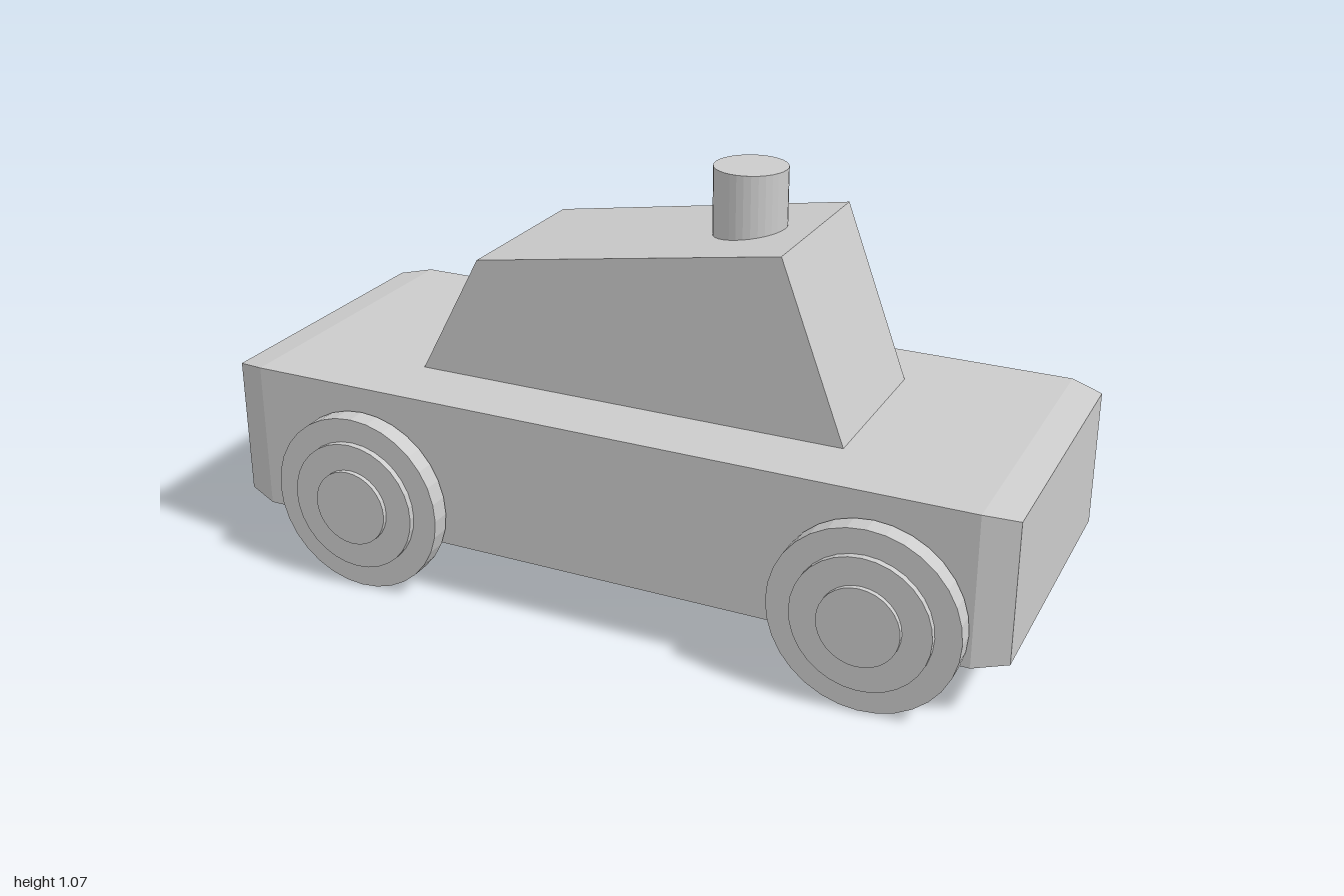
import * as THREE from 'three';

const flat = new THREE.MeshStandardMaterial({ color: 0xcccccc, flatShading: true });

function part(name, geometry, x, y, z) {
  const mesh = new THREE.Mesh(geometry, flat);
  mesh.name = name;
  mesh.position.set(x, y, z);
  return mesh;
}

// Long box whose two ends taper slightly in height and width
function bodyGeometry() {
  const geo = new THREE.BoxGeometry(2, 0.373, 0.795, 3, 1, 1);
  const p = geo.attributes.position;
  for (let i = 0; i < p.count; i++) {
    const x = p.getX(i);
    if (Math.abs(x) > 0.9) {
      p.setY(i, p.getY(i) * 0.93);
      p.setZ(i, p.getZ(i) * 0.925);
    } else {
      p.setX(i, Math.sign(x) * 0.92);
    }
  }
  geo.computeVertexNormals();
  return geo;
}

// Sloped-roof side outline extruded across the car
function cabinGeometry(width) {
  const outline = new THREE.Shape([
    new THREE.Vector2(-0.555, 0.513),
    new THREE.Vector2(0.55, 0.513),
    new THREE.Vector2(0.388, 0.947),
    new THREE.Vector2(-0.39, 0.821),
  ]);
  return new THREE.ExtrudeGeometry(outline, { depth: width, bevelEnabled: false })
    .translate(0, 0, -width / 2);
}

// Stepped wheel: tyre, rim and hub, from the inner face outwards
function wheel(name, x, side) {
  const group = new THREE.Group();
  group.name = name;
  group.position.set(x, 0.228, side * 0.4);
  const discs = [['tyre', 0.226, 0, 0.049], ['rim', 0.165, 0.049, 0.065], ['hub', 0.097, 0.065, 0.077]];
  for (const [label, radius, from, to] of discs) {
    const geo = new THREE.CylinderGeometry(radius, radius, to - from, 32).rotateX(Math.PI / 2);
    group.add(part(label, geo, 0, 0, side * (from + to) / 2));
  }
  return group;
}

export function createModel() {
  const car = new THREE.Group();
  car.name = 'car';
  const midZ = -0.003;
  car.add(part('body', bodyGeometry(), 0, 0.3285, midZ));
  car.add(part('cabin', cabinGeometry(0.436), 0, 0, midZ));

  // Roof light, its base sunk into the sloping roof
  car.add(part('roofLight', new THREE.CylinderGeometry(0.088, 0.088, 0.195, 32), 0.223, 0.9775, midZ));

  for (const side of [1, -1]) {
    const label = side > 0 ? 'Front' : 'Back';
    car.add(wheel('leftWheel' + label, 0.688, side));
    car.add(wheel('rightWheel' + label, -0.62, side));
  }
  return car;
}
